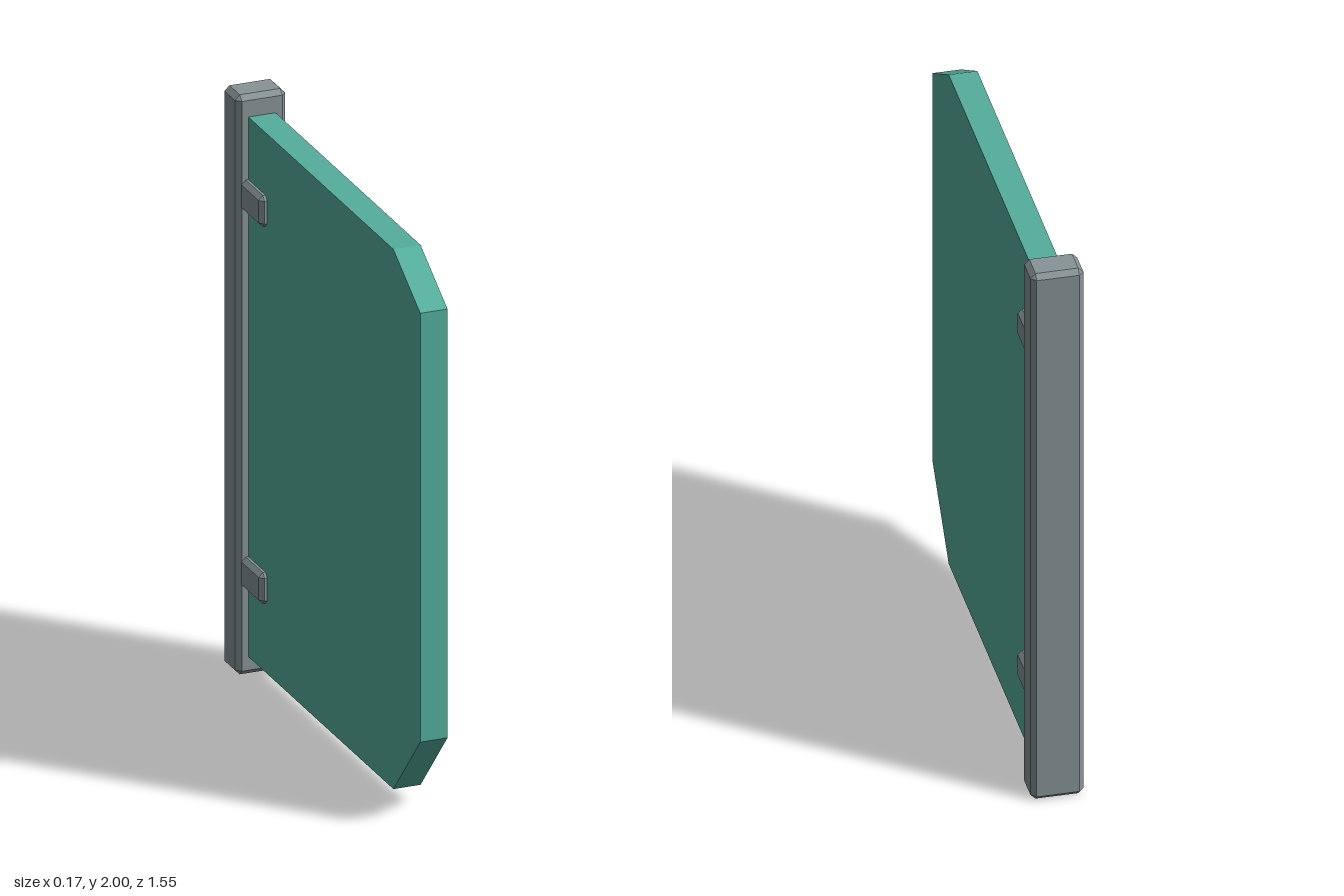
import * as THREE from 'three';
import { ConvexGeometry } from 'three/addons/geometries/ConvexGeometry.js';

// Box with every edge cut by a flat chamfer c
function chamferedBox(w, h, d, c) {
  const points = [];
  for (const x of [-w / 2, w / 2])
    for (const y of [-h / 2, h / 2])
      for (const z of [-d / 2, d / 2]) {
        const ix = x - Math.sign(x) * c, iy = y - Math.sign(y) * c, iz = z - Math.sign(z) * c;
        points.push(
          new THREE.Vector3(x, iy, iz),
          new THREE.Vector3(ix, y, iz),
          new THREE.Vector3(ix, iy, z)
        );
      }
  return new ConvexGeometry(points);
}

export function createModel() {
  const model = new THREE.Group();
  model.name = 'hingedPanel';

  const metal = new THREE.MeshStandardMaterial({ color: 0x879496 });
  metal.name = 'grey metal';
  const teal = new THREE.MeshStandardMaterial({ color: 0x55af9d });
  teal.name = 'teal panel';

  const add = (name, geometry, material, x, y, z) => {
    const mesh = new THREE.Mesh(geometry, material);
    mesh.name = name;
    mesh.position.set(x, y, z);
    model.add(mesh);
    return mesh;
  };

  // Upright post along the back edge
  add('post', chamferedBox(0.174, 2, 0.12, 0.017), metal, 0, 1, -0.714);

  // Panel with two clipped front corners, drawn as (z, y)
  const outline = new THREE.Shape([
    [-0.67, 0.063], [0.55, 0.063], [0.774, 0.31],
    [0.774, 1.79], [0.55, 1.926], [-0.67, 1.926],
  ].map(([z, y]) => new THREE.Vector2(z, y)));
  const thickness = 0.094;
  const panelGeometry = new THREE.ExtrudeGeometry(outline, { depth: thickness, bevelEnabled: false });
  panelGeometry.translate(0, 0, -thickness / 2);
  panelGeometry.rotateY(-Math.PI / 2);
  add('panel', panelGeometry, teal, 0, 0, 0);

  // Hinge clips wrapping both sides of the panel
  const clipGeometry = chamferedBox(0.142, 0.108, 0.2, 0.015);
  add('lowerClip', clipGeometry, metal, 0, 0.355, -0.598);
  add('upperClip', clipGeometry, metal, 0, 1.656, -0.598);

  return model;
}
